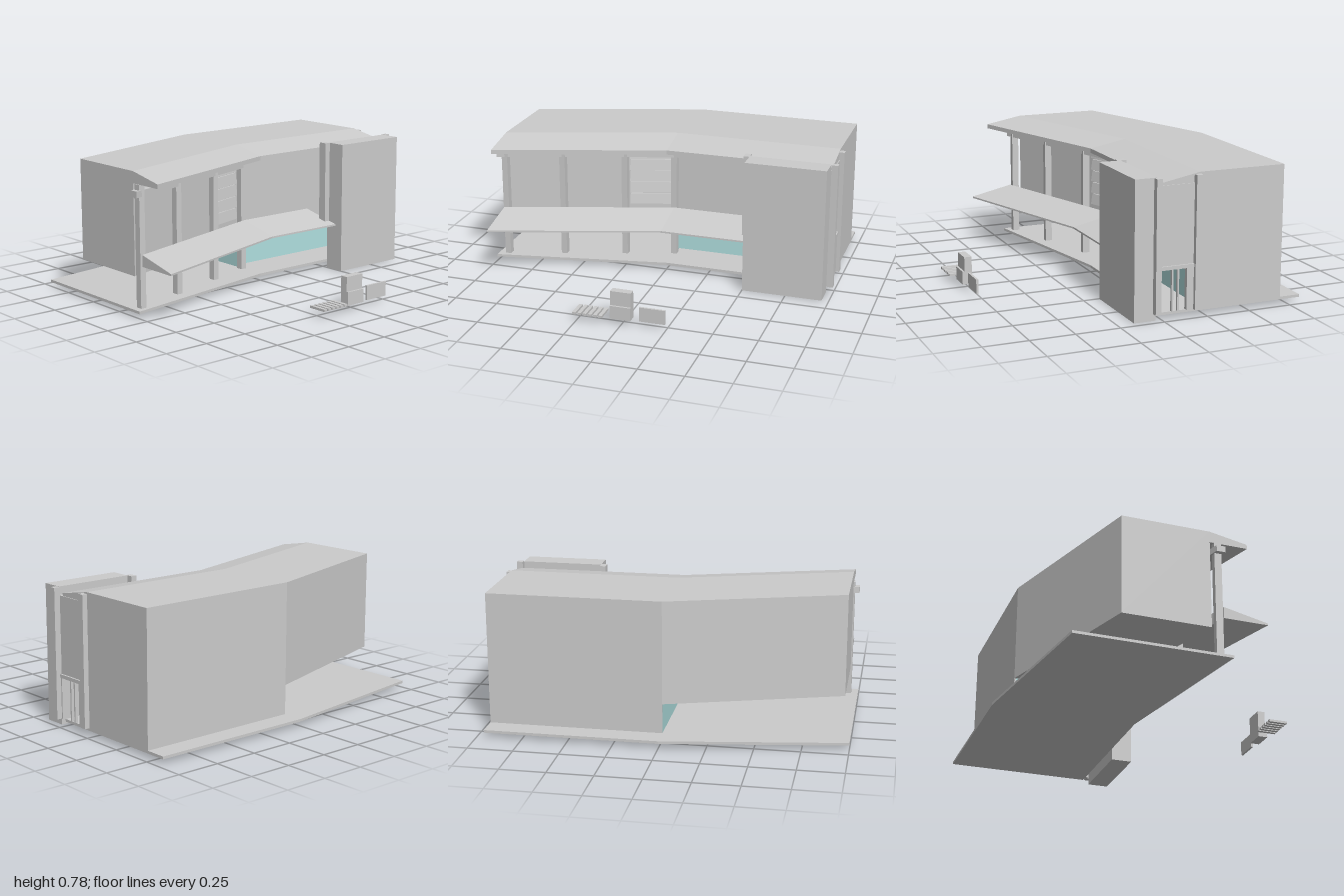
import * as THREE from 'three';

const grey = new THREE.MeshStandardMaterial({ color: 0xcccccc, flatShading: true, side: THREE.DoubleSide });
const teal = new THREE.MeshStandardMaterial({ color: 0xb0e0e0, flatShading: true, side: THREE.DoubleSide });

const LEFT_END = -0.955, RIGHT_END = 0.96, SHIFT = 0.3;
// The left wing swings forward: z offset of the bent plan at a given x
const bend = (x) => (x < 0 ? (x / LEFT_END) * SHIFT : 0);

export function createModel() {
  const model = new THREE.Group();
  const add = (name, geometry, material = grey) => {
    const mesh = new THREE.Mesh(geometry, material);
    mesh.name = name;
    model.add(mesh);
    return mesh;
  };
  // Box given by its limits on each axis
  const box = (name, x0, x1, y0, y1, z0, z1, material) => {
    const mesh = add(name, new THREE.BoxGeometry(x1 - x0, y1 - y0, z1 - z0), material);
    mesh.position.set((x0 + x1) / 2, (y0 + y1) / 2, (z0 + z1) / 2);
    return mesh;
  };
  // Sweep a [z, y] profile from x0 to x1, sheared to follow the bend
  const bay = (name, profile, x0, x1) => {
    const shape = new THREE.Shape(profile.map(([z, y]) => new THREE.Vector2(-z, y)));
    const geo = new THREE.ExtrudeGeometry(shape, { depth: 1, bevelEnabled: false });
    const p = geo.attributes.position;
    for (let i = 0; i < p.count; i++) {
      const x = x0 + p.getZ(i) * (x1 - x0);
      p.setXYZ(i, x, p.getY(i), -p.getX(i) + bend(x));
    }
    geo.computeVertexNormals();
    return add(name, geo);
  };

  // Bent ground slab
  const plan = [[-1, 0.185], [0, 0], [RIGHT_END, 0], [RIGHT_END, -0.83], [0, -0.83], [-1, -0.68]];
  const slab = new THREE.ExtrudeGeometry(
    new THREE.Shape(plan.map(([x, z]) => new THREE.Vector2(x, -z))), { depth: 0.015, bevelEnabled: false });
  slab.rotateX(-Math.PI / 2).translate(0, 0.025, 0);
  add('groundSlab', slab);

  // Upper storey with sloping front eave, and the lower canopy
  const storey = [[-0.71, 0.205], [-0.71, 0.775], [-0.215, 0.775], [0, 0.735],
    [0, 0.71], [-0.215, 0.71], [-0.215, 0.205]];
  const canopy = [[-0.145, 0.27], [-0.145, 0.335], [0.105, 0.28], [0.105, 0.27]];
  bay('upperStoreyLeft', storey, LEFT_END, 0);
  bay('upperStoreyRight', storey, 0, RIGHT_END);
  bay('canopyLeft', canopy, LEFT_END, 0);
  bay('canopyRight', canopy, 0, 0.5);

  // Beam along the column line
  const beam = [[-0.2, 0.645], [-0.2, 0.68], [-0.15, 0.68], [-0.15, 0.645]];
  bay('beamLeft', beam, -0.988, 0);
  bay('beamRight', beam, 0, 0.465);

  // Front columns
  for (const x of [-0.945, -0.626, -0.28, -0.003]) {
    const z = -0.17 + bend(x);
    box('frontColumn', x - 0.017, x + 0.017, 0.04, 0.71, z - 0.02, z + 0.02);
  }
  box('towerPilaster', 0.465, 0.5, 0.29, 0.765, 0, 0.05);

  // Louvres on the upper wall between two columns
  for (let i = 0; i < 5; i++) {
    const y = 0.34 + i * 0.07;
    bay('louvre', [[-0.215, y], [-0.215, y + 0.062], [-0.205, y + 0.062], [-0.195, y]], -0.262, -0.02);
  }

  // Ground floor: solid back and right walls, glazed front and left
  box('backWall', 0, RIGHT_END, 0.04, 0.21, -0.71, -0.7);
  box('backPanel', 0.5, RIGHT_END, 0.04, 0.775, -0.708, -0.7);
  box('rightWall', 0.95, RIGHT_END, 0.04, 0.21, -0.705, -0.205);
  box('frontGlass', 0, 0.95, 0.05, 0.205, -0.219, -0.215, teal);
  box('sideGlass', 0, 0.004, 0.04, 0.205, -0.7, -0.215, teal);

  // Front tower
  box('tower', 0.5, RIGHT_END, 0, 0.765, 0.035, 0.157);

  // Right side entrance: columns, panel above, open door frame below
  box('sideColumnFront', 0.965, 1, 0.04, 0.765, 0.02, 0.052);
  box('sideColumnBack', 0.955, 0.99, 0.04, 0.765, -0.217, -0.18);
  box('sidePanel', 0.945, 0.965, 0.29, 0.72, -0.18, 0.035);
  box('sideLintel', 0.945, 0.975, 0.27, 0.29, -0.18, 0.025);
  box('doorJambFront', 0.945, 0.97, 0.04, 0.27, 0.012, 0.03);
  box('doorJambBack', 0.945, 0.97, 0.04, 0.27, -0.18, -0.14);
  for (const z of [-0.06, -0.093]) box('doorMullion', 0.95, 0.965, 0.04, 0.27, z - 0.005, z + 0.005);

  // Forecourt: low slats, stepped cabinet and upright board
  for (let i = 0; i < 6; i++) {
    const x = -0.268 + i * 0.03;
    box('slat', x, x + 0.02, 0.04, 0.053, 0.718, 0.827);
  }
  box('cabinet', -0.064, 0.053, 0.03, 0.187, 0.742, 0.785);
  box('cabinetStep', -0.064, 0.053, 0.03, 0.105, 0.785, 0.797);
  box('board', 0.098, 0.243, 0.028, 0.11, 0.767, 0.779);

  return model;
}
